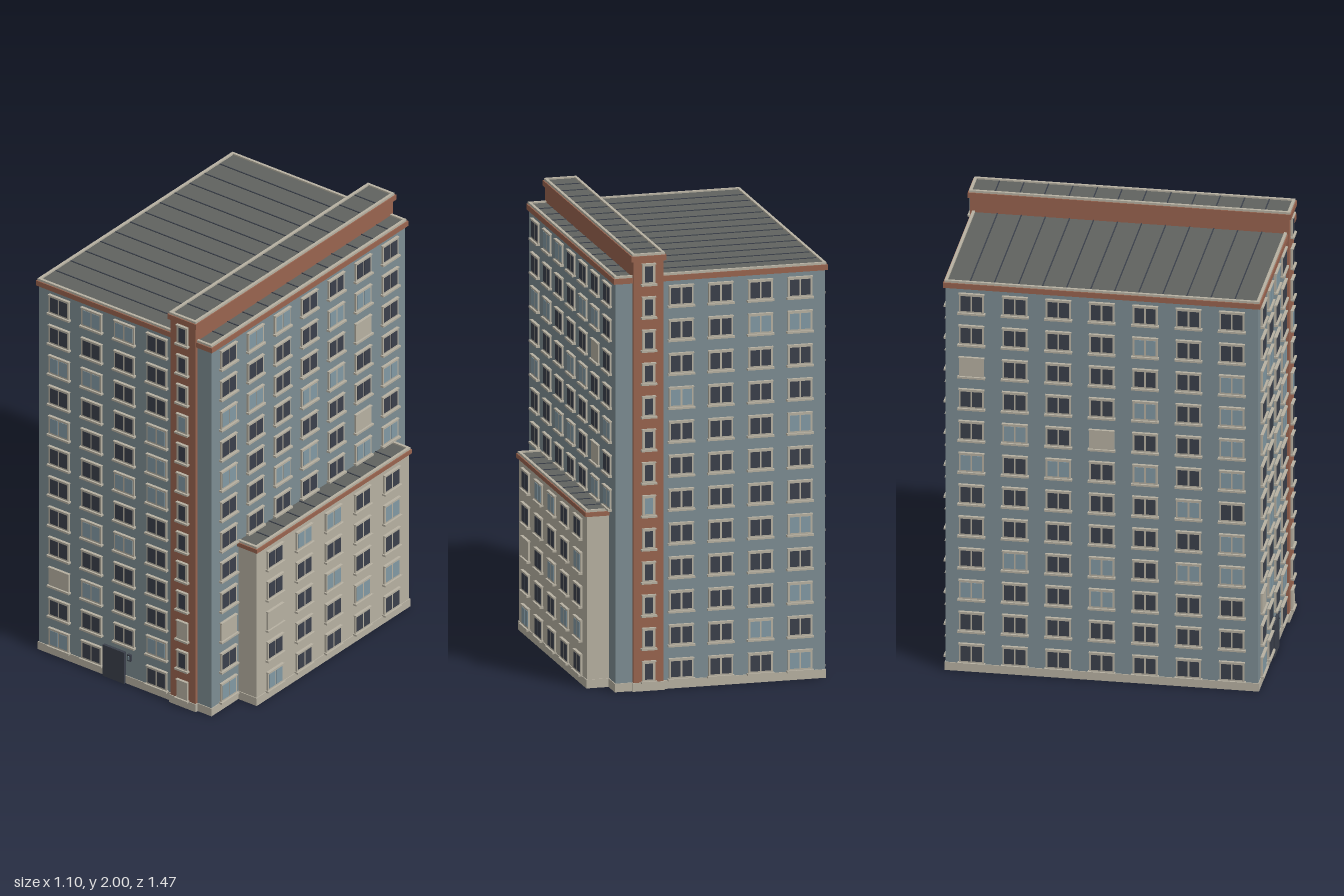
import * as THREE from 'three';
import { mergeGeometries } from 'three/addons/utils/BufferGeometryUtils.js';

const mat = (name, color) => Object.assign(new THREE.MeshStandardMaterial({ color }), { name });
const M = {
  wall: mat('blue grey wall', 0x7d8d93),
  stone: mat('beige stone', 0xb7b1a2),
  brick: mat('red brown brick', 0x99644f),
  roof: mat('grey roofing', 0x60635f),
  dark: mat('dark glass', 0x3b404b),
  light: mat('pale glass', 0x8299a4),
};

// box geometry from minimum and maximum corners
function box(x0, x1, y0, y1, z0, z1) {
  return new THREE.BoxGeometry(x1 - x0, y1 - y0, z1 - z0)
    .translate((x0 + x1) / 2, (y0 + y1) / 2, (z0 + z1) / 2);
}

function add(parent, name, material, ...geometries) {
  const mesh = new THREE.Mesh(geometries.length > 1 ? mergeGeometries(geometries) : geometries[0], material);
  mesh.name = name;
  parent.add(mesh);
  return mesh;
}

// hollow rectangular band around a footprint
function ring(x0, x1, z0, z1, y0, y1, out, width) {
  const a = x0 - out, b = x1 + out, c = z0 - out, d = z1 + out;
  return [
    box(a, b, y0, y1, c, c + width), box(a, b, y0, y1, d - width, d),
    box(a, a + width, y0, y1, c + width, d - width), box(b - width, b, y0, y1, c + width, d - width),
  ];
}

// walls, plinth, cornice, coping and seamed roof of one volume
function block(name, wallMat, [x0, x1, z0, z1], bottom, top, cornice, seams, plinth = true) {
  const g = new THREE.Group();
  g.name = name;
  add(g, 'walls', wallMat, box(x0, x1, bottom, top - 0.02, z0, z1));
  if (plinth) add(g, 'plinth', M.stone, ...ring(x0, x1, z0, z1, bottom + 0.001, 0.04, 0.004, 0.02));
  add(g, 'cornice', M.brick, ...ring(x0, x1, z0, z1, top - cornice, top - 0.01, 0.01, 0.024));
  add(g, 'coping', M.stone, ...ring(x0, x1, z0, z1, top - 0.01, top, 0.005, 0.013));
  add(g, 'roofDeck', M.roof, box(x0, x1, top - 0.02, top - 0.007, z0, z1));
  const lines = [];
  for (let i = 1; i < seams; i++) {
    const z = z0 + (z1 - z0) * i / seams;
    lines.push(box(x0 + 0.01, x1 - 0.01, top - 0.007, top - 0.004, z - 0.0025, z + 0.0025));
  }
  add(g, 'roofSeams', M.dark, ...lines);
  return g;
}

// Windows on one facade, facing local +z.
// kind(row, column) gives D dark, L pale, B blind or a space for none.
function facade(name, columns, rows, step, kind, narrow = false) {
  const g = new THREE.Group();
  g.name = name;
  const frames = [], panes = { D: [], L: [] };
  const w = narrow ? 0.03 : 0.056, h = 0.044;
  for (let r = 0; r < rows; r++) {
    const y = 0.09 + r * step;
    columns.forEach((x, c) => {
      const k = kind(r, c);
      if (k === ' ') return;
      frames.push(box(x - w, x + w, y - h, y + h, -0.002, 0.009));
      frames.push(box(x - w - 0.006, x + w + 0.006, y - h - 0.009, y - h, -0.002, 0.018));
      frames.push(box(x - w - 0.002, x + w + 0.002, y + h, y + h + 0.005, -0.002, 0.014));
      if (k === 'B') return;
      const spans = narrow ? [[-0.018, 0.018]] : [[-0.048, -0.004], [0.004, 0.048]];
      for (const [a, b] of spans)
        panes[k].push(box(x + a, x + b, y - 0.036, y + 0.036, 0.004, 0.0105));
    });
  }
  add(g, 'windowFramesAndSills', M.stone, ...frames);
  if (panes.D.length) add(g, 'darkPanes', M.dark, ...panes.D);
  if (panes.L.length) add(g, 'palePanes', M.light, ...panes.L);
  return g;
}

// pattern strings list the storeys from the top down
const pattern = (text) => {
  const list = text.split('/').reverse();
  return (r, c) => (list[r] && list[r][c]) || ' ';
};

// repeatable scatter of curtains on the remaining facades
const scatter = (seed) => (r, c) => {
  const n = Math.sin(r * 12.9898 + c * 78.233 + seed) * 43758.5453;
  const v = n - Math.floor(n);
  return v < 0.03 ? 'B' : v < 0.24 ? 'L' : 'D';
};

export function createModel() {
  const model = new THREE.Group();
  model.name = 'apartmentBlock';
  const X0 = -0.537, X1 = 0.428, Z = 0.702, TZ = 0.716;

  // main volumes
  model.add(block('mainBlock', M.wall, [X0, X1, -Z, Z], 0, 1.9, 0.035, 13));
  model.add(block('stairTower', M.brick, [0.21, 0.35, -TZ, TZ], 0.002, 2, 0.035, 13, false));
  model.add(block('sideAnnex', M.stone, [0.4, 0.53, -0.598, 0.507], -0.0005, 0.815, 0.03, 10));
  add(model, 'towerPlinth', M.stone,
    box(0.206, 0.354, 0.001, 0.04, TZ - 0.02, TZ + 0.004),
    box(0.206, 0.354, 0.001, 0.04, -TZ - 0.004, -TZ + 0.02));

  // front and back windows
  const cols = [-0.42, -0.238, -0.055, 0.127];
  const front = facade('frontWindows', cols, 12, 0.155,
    pattern('DLLD/DDDD/LLDD/DDDL/LDDL/DDLL/DDDD/DLLD/DDDD/BLDD/DDDL/LD D'));
  front.position.z = Z;
  const back = facade('backWindows', cols.map((x) => -x), 12, 0.155, scatter(3));
  back.position.z = -Z;
  back.rotation.y = Math.PI;

  // narrow tower windows
  const towerFront = facade('towerFrontWindows', [0.28], 13, 0.1513,
    pattern('D/D/D/L/D/L/D/D/D/D/B/D/B'), true);
  towerFront.position.z = TZ;
  const towerBack = facade('towerBackWindows', [-0.28], 13, 0.1513, scatter(8), true);
  towerBack.position.z = -TZ;
  towerBack.rotation.y = Math.PI;

  // side windows; on the +x side local x runs towards -z
  const sideCols = [-3, -2, -1, 0, 1, 2, 3].map((i) => i * 0.195);
  const east = facade('leftSideWindows', sideCols, 12, 0.155,
    pattern('DLLDDDD/DDDDLLD/LLDDDBD/DDDLLDD/LDDDDDL/DDLLDBD/DDDDDLL/D/D/B/D/L'));
  east.position.x = X1;
  east.rotation.y = Math.PI / 2;
  const west = facade('rightSideWindows', sideCols, 12, 0.155, scatter(5));
  west.position.x = X0;
  west.rotation.y = -Math.PI / 2;
  const annex = facade('annexWindows', [-2, -1, 0, 1, 2].map((i) => 0.043 + i * 0.2115), 5, 0.155,
    pattern('DLLDD/DDDDL/BDLDD/DDDLL/LDDDD'));
  annex.position.x = 0.53;
  annex.rotation.y = Math.PI / 2;
  model.add(front, back, towerFront, towerBack, east, west, annex);

  // entrance door with entry panel
  add(model, 'entranceDoor', M.dark, box(-0.17, -0.05, 0.001, 0.16, Z - 0.005, Z + 0.014));
  add(model, 'entryPanel', M.dark, box(-0.035, -0.015, 0.125, 0.157, Z - 0.005, Z + 0.012));
  add(model, 'entryPanelFace', M.light, box(-0.03, -0.02, 0.131, 0.151, Z + 0.008, Z + 0.014));
  return model;
}
